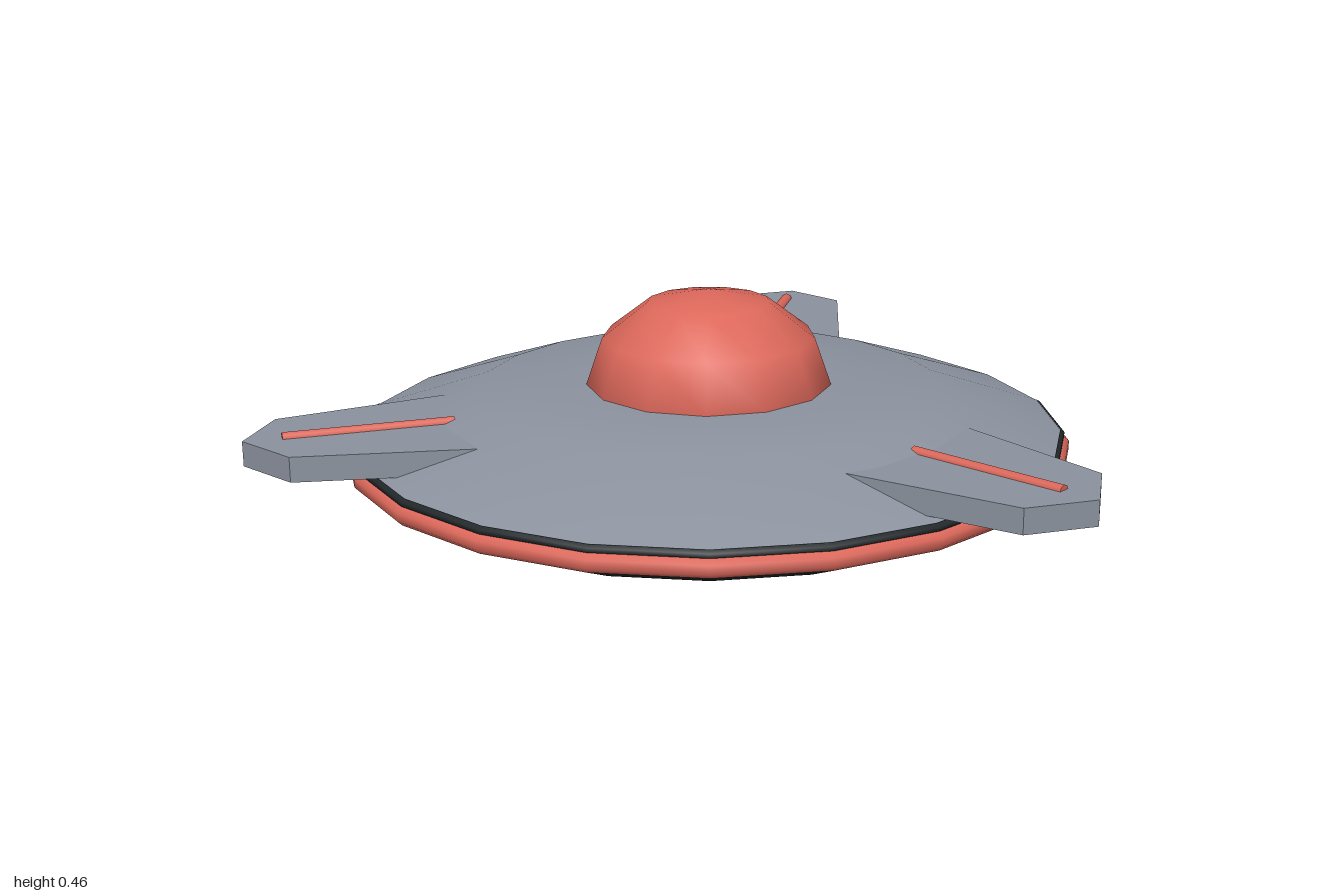
import * as THREE from 'three';

const paint = (name, color) => {
  const m = new THREE.MeshStandardMaterial({ color });
  m.name = name;
  return m;
};

export function createModel() {
  const hullGrey = paint('hull grey', 0x8c939f);
  const red = paint('red', 0xdd685b);
  const dark = paint('dark trim', 0x22282b);
  const baseGrey = paint('base grey', 0xb8b8b8);

  const model = new THREE.Group();
  model.name = 'saucer';
  const body = new THREE.Group();
  body.name = 'body';
  body.position.z = -0.12;
  model.add(body);

  const add = (parent, name, geometry, material) => {
    const mesh = new THREE.Mesh(geometry, material);
    mesh.name = name;
    parent.add(mesh);
    return mesh;
  };
  // 21-sided ring from [radius, height] pairs, bottom to top, a corner on +x
  const turn = (points) => new THREE.LatheGeometry(
    points.map(([r, y]) => new THREE.Vector2(r, y)), 21, Math.PI / 2);

  // Saucer, from the ground up
  add(body, 'basePlate', turn([[0, 0], [0.74, 0]]), baseGrey);
  add(body, 'underside', turn([[0.74, 0], [0.87, 0.058]]), dark);
  add(body, 'rimBand', turn([[0.855, 0.055], [0.87, 0.058], [0.882, 0.07], [0.882, 0.09], [0.87, 0.1], [0.855, 0.103]]), red);
  add(body, 'upperSeam', turn([[0.862, 0.1], [0.87, 0.102], [0.87, 0.112], [0.86, 0.118]]), dark);
  add(body, 'upperHull', turn([[0.862, 0.115], [0.57, 0.217], [0.3, 0.23], [0, 0.23]]), hullGrey);

  // Cockpit dome, 13-sided
  const dome = new THREE.SphereGeometry(0.3, 13, 3, Math.PI, Math.PI * 2, 0, Math.PI / 2);
  dome.scale(1, 0.23 / 0.3, 1);
  add(body, 'cockpitDome', dome, red).position.y = 0.23;

  // Three fins, each with a red rod along its top
  const outline = new THREE.Shape([
    [-0.235, -0.55], [0.235, -0.55], [0.15, -1.03], [0, -1.12], [-0.15, -1.03],
  ].map(([x, y]) => new THREE.Vector2(x, y)).reverse());
  const finGeometry = new THREE.ExtrudeGeometry(outline, { depth: 0.06, bevelEnabled: false });
  finGeometry.rotateX(-Math.PI / 2);
  const rodGeometry = new THREE.CylinderGeometry(0.016, 0.016, 0.4, 8);
  rodGeometry.rotateX(Math.PI / 2);

  ['front', 'left', 'right'].forEach((side, i) => {
    const fin = new THREE.Group();
    fin.name = side + 'Fin';
    fin.rotation.y = i * Math.PI * 2 / 3;
    add(fin, side + 'FinPlate', finGeometry, hullGrey).position.y = 0.126;
    add(fin, side + 'FinRod', rodGeometry, red).position.set(0, 0.183, 0.83);
    body.add(fin);
  });

  return model;
}
